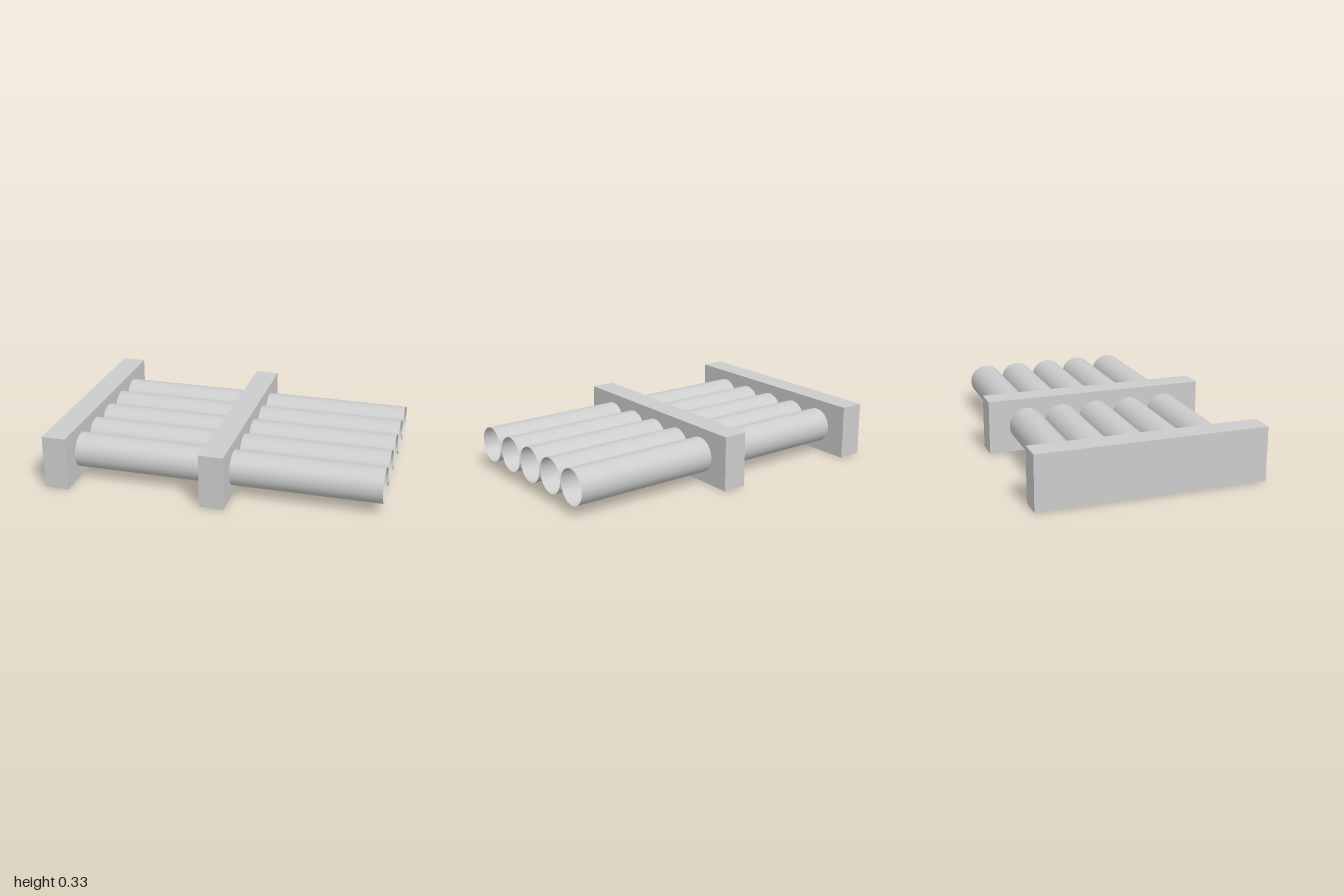
import * as THREE from 'three';

export function createModel() {
  const group = new THREE.Group();
  group.name = 'pipeRack';
  const solid = new THREE.MeshStandardMaterial({ color: 0xcccccc });
  const thin = new THREE.MeshStandardMaterial({ color: 0xcccccc, side: THREE.DoubleSide });

  // Two upright beams across the pipes: one at the end, one in the middle
  const beamGeometry = new THREE.BoxGeometry(0.146, 0.328, 1.364);
  for (const [name, x] of [['endBeam', -0.927], ['middleBeam', 0.034]]) {
    const beam = new THREE.Mesh(beamGeometry, solid);
    beam.name = name;
    beam.position.set(x, 0.164, 0);
    group.add(beam);
  }

  // Five open thin-walled pipes, running from the end beam through the middle beam
  const start = -0.86, end = 1;
  const pipeGeometry = new THREE.CylinderGeometry(0.106, 0.106, end - start, 48, 1, true);
  pipeGeometry.rotateZ(Math.PI / 2);
  [-0.449, -0.227, -0.004, 0.218, 0.449].forEach((z, i) => {
    const pipe = new THREE.Mesh(pipeGeometry, thin);
    pipe.name = `pipe${i + 1}`;
    pipe.position.set((start + end) / 2, 0.163, z);
    group.add(pipe);
  });

  return group;
}
